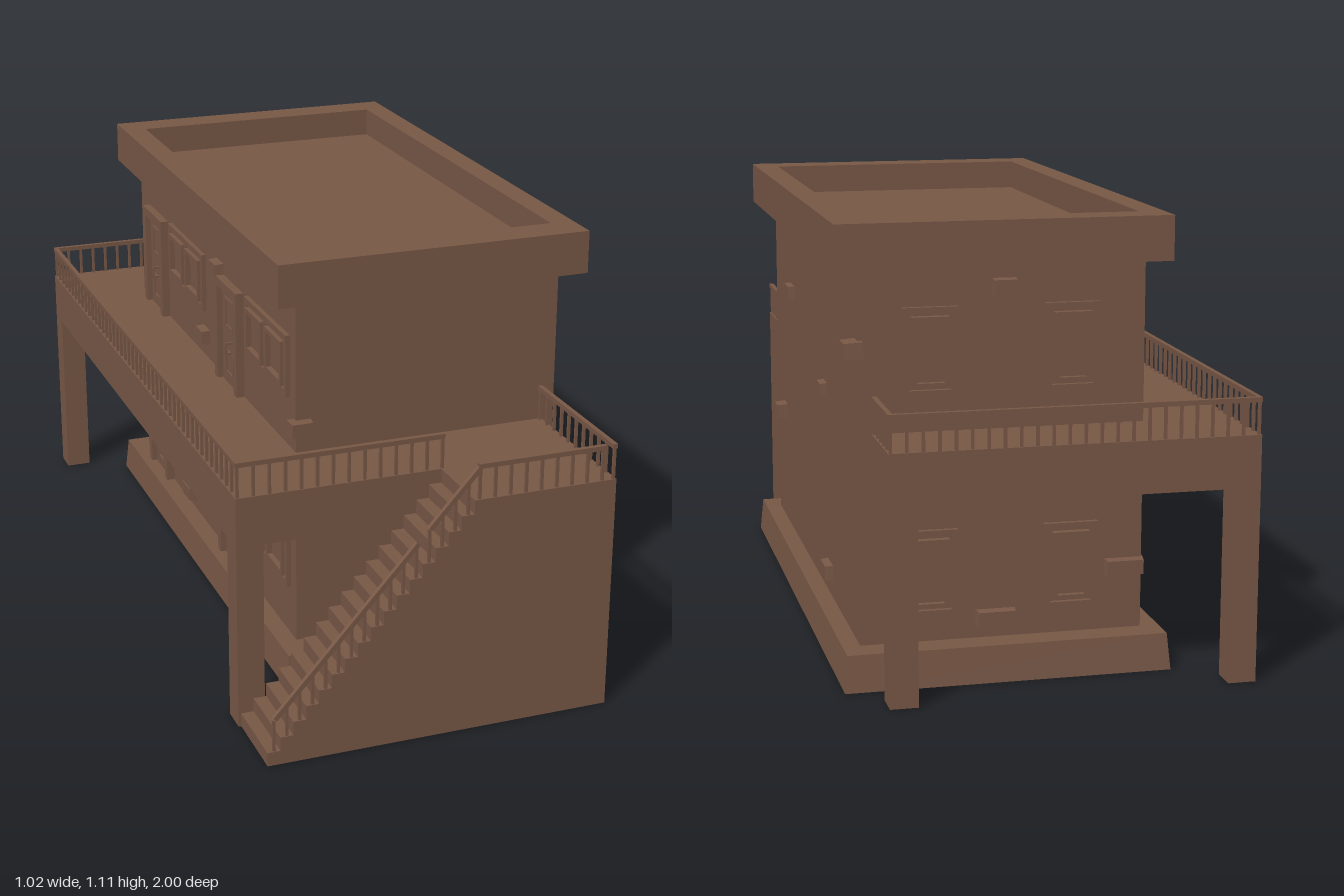
import * as THREE from 'three';

const clay = new THREE.MeshStandardMaterial({ color: 0x7a5947, side: THREE.DoubleSide });
clay.name = 'brown clay';

function add(parent, name, geometry) {
  const mesh = new THREE.Mesh(geometry, clay);
  mesh.name = name;
  parent.add(mesh);
  return mesh;
}

function boxGeometry(x0, x1, y0, y1, z0, z1) {
  const g = new THREE.BoxGeometry(x1 - x0, y1 - y0, z1 - z0);
  return g.translate((x0 + x1) / 2, (y0 + y1) / 2, (z0 + z1) / 2);
}

// Box given by its limits on each axis
const box = (parent, name, ...limits) => add(parent, name, boxGeometry(...limits));

// Leaves out the faces lying on the lowest level, making a hollow shell
function openBottom(geometry) {
  const g = geometry.index ? geometry.toNonIndexed() : geometry;
  g.computeBoundingBox();
  const low = g.boundingBox.min.y + 1e-4, p = g.attributes.position, kept = [];
  for (let i = 0; i < p.count; i += 3) {
    if (Math.max(p.getY(i), p.getY(i + 1), p.getY(i + 2)) > low) kept.push(i, i + 1, i + 2);
  }
  g.clearGroups();
  g.setIndex(kept);
  return g;
}

const rectPoints = (x0, x1, y0, y1) =>
  [[x0, y0], [x1, y0], [x1, y1], [x0, y1]].map(p => new THREE.Vector2(...p));

function rectWithHoles(outer, holes) {
  const s = new THREE.Shape(rectPoints(...outer));
  holes.forEach(h => s.holes.push(new THREE.Path(rectPoints(...h))));
  return s;
}

const extrude = (shape, depth) => new THREE.ExtrudeGeometry(shape, { depth, bevelEnabled: false });

// Plan shape drawn with (x, -z), raised from y0 to y1
const raise = (shape, y0, y1) => extrude(shape, y1 - y0).rotateX(-Math.PI / 2).translate(0, y0, 0);

// Straight bar between two points in the x-y plane
function slopedBar(parent, name, x0, y0, x1, y1, z, t) {
  const bar = add(parent, name, new THREE.BoxGeometry(Math.hypot(x1 - x0, y1 - y0), t, t));
  bar.position.set((x0 + x1) / 2, (y0 + y1) / 2, z);
  bar.rotation.z = Math.atan2(y1 - y0, x1 - x0);
}

// Level railing between two plan points on the balcony
const DECK = 0.605;
function railing(parent, x0, z0, x1, z1) {
  const g = new THREE.Group();
  g.name = 'balconyRailing';
  const len = Math.hypot(x1 - x0, z1 - z0), n = Math.max(1, Math.round(len / 0.039));
  const rail = add(g, 'handrail', new THREE.BoxGeometry(len + 0.01, 0.012, 0.012));
  rail.position.set((x0 + x1) / 2, 0.689, (z0 + z1) / 2);
  rail.rotation.y = -Math.atan2(z1 - z0, x1 - x0);
  for (let i = 0; i <= n; i++) {
    const x = x0 + (x1 - x0) * i / n, z = z0 + (z1 - z0) * i / n;
    box(g, 'baluster', x - 0.0035, x + 0.0035, DECK, 0.685, z - 0.0035, z + 0.0035);
  }
  parent.add(g);
}

// Frame with one or more sashes, each holding a slightly raised pane
function windowUnit(wall, u0, u1, y0, y1, panes) {
  const g = new THREE.Group();
  g.name = 'window';
  const b = 0.016, w = (u1 - u0 - b * (panes + 1)) / panes, holes = [];
  for (let i = 0; i < panes; i++) {
    const a = u0 + b + i * (w + b);
    holes.push([a, a + w, y0 + b, y1 - b]);
  }
  add(g, 'windowFrame', extrude(rectWithHoles([u0, u1, y0, y1], holes), 0.012));
  holes.forEach(([a, c, d, e]) => {
    const s = 0.006, t = 0.018;
    add(g, 'sash', extrude(rectWithHoles([a + s, c - s, d + s, e - s], [[a + t, c - t, d + t, e - t]]), 0.018));
    box(g, 'pane', a + t, c - t, d + t, e - t, 0, 0.004);
  });
  wall.add(g);
}

// Door with surround, leaf, panels and a bracket handle
function door(wall, u0, u1, y0, y1) {
  const g = new THREE.Group();
  g.name = 'door';
  const b = 0.024, m = (u0 + u1) / 2;
  const s = new THREE.Shape([[u0, y0], [u0 + b, y0], [u0 + b, y1 - b], [u1 - b, y1 - b], [u1 - b, y0],
    [u1, y0], [u1, y1], [u0, y1]].map(p => new THREE.Vector2(...p)));
  add(g, 'doorSurround', extrude(s, 0.022));
  box(g, 'doorLeaf', u0 + b + 0.006, u1 - b - 0.006, y0, y1 - b - 0.006, 0, 0.008);
  const yh = y0 + 0.122;
  [[0.025, 0.095], [0.155, 0.24]].forEach(([a, c]) =>
    add(g, 'doorPanel', extrude(rectWithHoles([m - 0.035, m + 0.035, y0 + a, y0 + c],
      [[m - 0.025, m + 0.025, y0 + a + 0.01, y0 + c - 0.01]]), 0.012)));
  const h = u1 - b - 0.022;
  box(g, 'handle', h - 0.003, h + 0.003, yh - 0.016, yh + 0.016, 0.032, 0.038);
  [-0.014, 0.014].forEach(d => box(g, 'handleArm', h - 0.003, h + 0.003, yh + d - 0.003, yh + d + 0.003, 0, 0.034));
  wall.add(g);
}

// Small projecting brick with a narrower outer face
function brick(wall, u, y, w, out = 0.024) {
  const g = new THREE.BoxGeometry(w, 0.042, out + 0.01), p = g.attributes.position;
  for (let i = 0; i < p.count; i++) {
    if (p.getZ(i) > 0) p.setXY(i, p.getX(i) * 0.9, p.getY(i) * 0.85);
  }
  g.computeVertexNormals();
  add(wall, 'brick', g).position.set(u, y, out / 2 - 0.005);
}

// Holder whose +z points out of a wall and whose x runs along it
function wallFace(parent, name, x, z, turn) {
  const g = new THREE.Group();
  g.name = name;
  g.position.set(x, 0, z);
  g.rotation.y = turn;
  parent.add(g);
  return g;
}

export function createModel() {
  const model = new THREE.Group();
  model.name = 'house';
  const house = new THREE.Group();
  house.name = 'turnedHouse';
  house.rotation.y = 0.0243;
  model.add(house);

  // Body, hollow battered plinth and parapet roof
  const X0 = -0.26, X1 = 0.436, Z0 = -0.784, Z1 = 0.575;
  add(house, 'walls', openBottom(boxGeometry(X0, X1, 0.09, 1.01, Z0, Z1)));
  const plinth = openBottom(boxGeometry(-0.315, 0.487, 0, 0.09, -0.863, 0.66));
  const pp = plinth.attributes.position;
  for (let i = 0; i < pp.count; i++) {
    if (pp.getY(i) < 0.05) continue;
    pp.setX(i, pp.getX(i) - Math.sign(pp.getX(i)) * 0.008);
    pp.setZ(i, pp.getZ(i) - Math.sign(pp.getZ(i)) * 0.01);
  }
  plinth.computeVertexNormals();
  add(house, 'plinth', plinth.toNonIndexed()).geometry.computeVertexNormals();
  add(house, 'parapet', raise(rectWithHoles([-0.318, 0.495, -0.618, 0.823], [[-0.256, 0.434, -0.525, 0.735]]), 0.997, 1.106));
  box(house, 'roofFloor', -0.258, 0.436, 1.002, 1.03, -0.737, 0.527);

  // Balcony wrapping three sides, on square hollow columns
  const L = -0.486, R = 0.404, B = -0.991, M = 0.79, F = 0.988;
  const deck = new THREE.Shape([[L, B], [R, B], [R, Z0], [X0, Z0], [X0, Z1], [R, Z1], [R, M], [L, M]]
    .map(([x, z]) => new THREE.Vector2(x, -z)));
  add(house, 'balconyDeck', raise(deck, 0.478, DECK));
  const c = 0.068;
  [[L, B], [R - c, B], [L, M - c]].forEach(([x, z]) =>
    add(house, 'column', openBottom(boxGeometry(x, x + c, 0, 0.478, z, z + c))));

  // Stair and landing, hollow underneath
  const N = 17, rise = DECK / N, sx = -0.479, tread = 0.0322;
  const pts = [[R, 0], [R, DECK]];
  for (let i = N - 1; i >= 0; i--) {
    pts.push([sx + i * tread, (i + 1) * rise], [sx + i * tread, i * rise]);
  }
  const stair = new THREE.Shape(pts.map(p => new THREE.Vector2(...p)));
  add(house, 'stairAndLanding', openBottom(extrude(stair, F - M).translate(0, 0, M)));

  // Level railings around the open edges
  const e = 0.006;
  [[L + e, B + e, R - e, B + e], [L + e, B + e, L + e, M - e], [L + e, M - e, 0.04, M - e],
    [0.05, F - e, R - 0.036, F - e], [R - e, Z1 + e, R - e, F - e], [R - e, B + e, R - e, Z0 - e]]
    .forEach(r => railing(house, ...r));

  // Sloping stair rail in two runs
  const railY = x => 0.12 + (x + 0.459) * 1.11;
  [[-0.459, -0.104], [-0.074, 0.05]].forEach(([a, b]) => {
    slopedBar(house, 'stairHandrail', a, railY(a), b, railY(b), F - e, 0.012);
    for (let i = 0; i < N; i++) {
      const x = sx + (i + 0.55) * tread;
      if (x < a - 0.005 || x > b) continue;
      box(house, 'stairBaluster', x - 0.0035, x + 0.0035, (i + 1) * rise, railY(x), F - e - 0.0035, F - e + 0.0035);
    }
  });

  // Left wall: two doors and two paired windows on each floor
  const left = wallFace(house, 'leftWall', X0, 0, -Math.PI / 2);
  [[0.09, 0.222], [DECK, 0.737]].forEach(([floor, sill]) => {
    [-0.695, -0.01].forEach(u => {
      door(left, u, u + 0.185, floor, floor + 0.285);
      windowUnit(left, u + 0.225, u + 0.545, sill, sill + 0.16, 2);
    });
  });
  [[-0.02, 0.9, 0.06], [-0.15, 0.67, 0.06], [-0.31, 0.14, 0.08], [-0.02, 0.39, 0.06]]
    .forEach(b => brick(left, ...b));

  // Back wall: two tall windows on each floor
  const back = wallFace(house, 'backWall', 0, Z0, Math.PI);
  [0.153, 0.69].forEach(y => [0.265, -0.08].forEach(x => windowUnit(back, -x - 0.067, -x + 0.067, y, y + 0.213, 1)));
  [[-0.086, 0.945, 0.06], [-0.105, 0.14, 0.1], [0.215, 0.247, 0.1]].forEach(b => brick(back, ...b));

  // Plain right and front walls with stray bricks
  const right = wallFace(house, 'rightWall', X1, 0, Math.PI / 2);
  [[-0.253, 0.785, 0.08, 0.018], [0.303, 0.62, 0.06, 0.018], [-0.42, 0.415, 0.06, 0.03],
    [0.35, 0.155, 0.08, 0.02], [0.775, 0.808, 0.065, 0.036]].forEach(b => brick(right, ...b));
  const front = wallFace(house, 'frontWall', 0, Z1, 0);
  [[-0.25, 0.67, 0.06], [0.1, 0.13, 0.06]].forEach(b => brick(front, ...b));

  return model;
}
